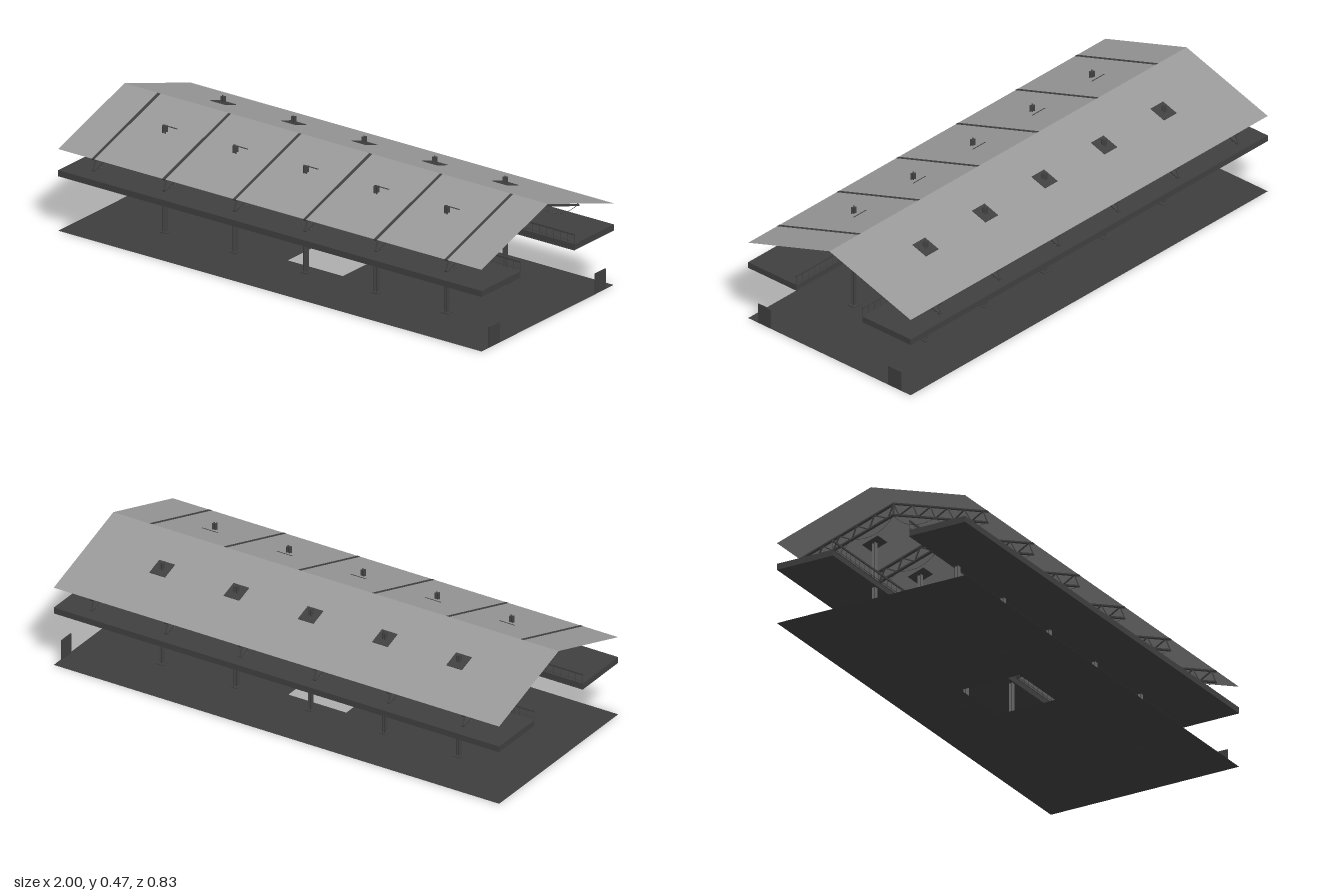
import * as THREE from 'three';

const mat = (name, color, side = THREE.FrontSide) => {
  const m = new THREE.MeshStandardMaterial({ color, side });
  m.name = name;
  return m;
};

export function createModel() {
  const model = new THREE.Group();
  model.name = 'platformHall';
  const steel = mat('dark steel', 0x404040);
  const floorMat = mat('dark floor', 0x3e3e3e, THREE.DoubleSide);
  const roofMat = mat('grey roof', 0x999999, THREE.DoubleSide);

  const HALF = 0.415, RIDGE = 0.466, EAVE = 0.333;
  const slope = (RIDGE - EAVE) / HALF;
  const pitch = Math.atan(slope);
  const slopeLength = Math.hypot(HALF, RIDGE - EAVE);

  const add = (parent, name, geometry, material, x = 0, y = 0, z = 0) => {
    const mesh = new THREE.Mesh(geometry, material);
    mesh.name = name;
    mesh.position.set(x, y, z);
    parent.add(mesh);
    return mesh;
  };
  const box = (parent, name, w, h, d, x, y, z) =>
    add(parent, name, new THREE.BoxGeometry(w, h, d), steel, x, y, z);

  // Bar between two points of the z-y plane
  const bar = (parent, name, [z1, y1], [z2, y2], width, thick) => {
    const length = Math.hypot(z2 - z1, y2 - y1);
    const m = box(parent, name, width, thick, length, 0, (y1 + y2) / 2, (z1 + z2) / 2);
    m.rotation.x = -Math.atan2(y2 - y1, z2 - z1);
    return m;
  };

  // Ground floor with a square opening in the middle
  const floor = new THREE.Shape([[-1, -HALF], [1, -HALF], [1, HALF], [-1, HALF]]
    .map(p => new THREE.Vector2(...p)));
  floor.holes.push(new THREE.Path([[-0.13, -0.13], [-0.13, 0.13], [0.13, 0.13], [0.13, -0.13]]
    .map(p => new THREE.Vector2(...p))));
  add(model, 'groundFloor', new THREE.ShapeGeometry(floor), floorMat).rotation.x = -Math.PI / 2;

  // Roof slopes
  for (const s of [1, -1]) {
    const roof = add(model, s > 0 ? 'frontRoof' : 'backRoof',
      new THREE.PlaneGeometry(2, slopeLength), roofMat, 0, (RIDGE + EAVE) / 2, s * HALF / 2);
    roof.rotation.x = -Math.PI / 2 + s * pitch;
  }

  // Upper galleries with edge flanges and inner railing
  for (const s of [1, -1]) {
    const gallery = new THREE.Group();
    gallery.name = s > 0 ? 'frontGallery' : 'backGallery';
    model.add(gallery);
    box(gallery, 'galleryDeck', 2, 0.025, 0.246, 0, 0.2345, s * 0.292);
    for (const y of [0.223, 0.246])
      box(gallery, 'deckFlange', 2, 0.003, 0.006, 0, y, s * 0.17);
    box(gallery, 'handrail', 2, 0.007, 0.005, 0, 0.285, s * 0.17);
    box(gallery, 'lowerRail', 2, 0.0015, 0.0015, 0, 0.256, s * 0.17);
    for (let i = 0; i <= 60; i++)
      box(gallery, 'baluster', 0.0014, 0.04, 0.0014, -0.999 + i * 0.0333, 0.265, s * 0.17);
  }

  // Columns of crossed plates, with foot plates and roof plates
  for (let i = -2; i <= 2; i++) {
    const x = i / 3 - 0.004;
    for (const s of [1, -1]) {
      const column = new THREE.Group();
      column.name = 'column';
      column.position.set(x, 0, s * 0.183);
      model.add(column);
      for (const a of [1, -1])
        box(column, 'columnPlate', 0.021, 0.434, 0.005, 0, 0.217, 0).rotation.y = a * Math.PI / 4;
      box(column, 'footPlate', 0.033, 0.004, 0.033, 0, 0.002, 0);
      const lift = s > 0 ? -0.003 : 0.0005;
      const plate = box(column, 'roofPlate', 0.07, 0.003, 0.073, 0,
        RIDGE - slope * 0.183 + lift, 0);
      plate.rotation.x = s * pitch;
    }
    // Narrow flashing on the front slope
    const flash = box(model, 'roofFlashing', 0.07, 0.003, 0.004, x, RIDGE - slope * 0.151, 0.151);
    flash.rotation.x = pitch;
  }

  // Trusses: chords, zigzag webs and hanging cables
  const bottomNodes = [0.415, 0.343, 0.267, 0.184, 0.108, 0.025];
  const topNodes = [0.395, 0.312, 0.238, 0.163, 0.085, 0];
  const drape = [[0, 0.414], [0.03, 0.383], [0.075, 0.358], [0.135, 0.35], [0.183, 0.359],
    [0.225, 0.323], [0.28, 0.295], [0.35, 0.28], [0.413, 0.284]];
  const cables = [drape.slice(0, 5), drape.slice(4)];
  for (let i = 0; i < 6; i++) {
    const truss = new THREE.Group();
    truss.name = 'truss';
    truss.position.x = (i - 2.5) / 3 - 0.002;
    model.add(truss);
    box(truss, 'kingPost', 0.006, 0.048, 0.004, 0, 0.438, 0);
    for (const s of [1, -1]) {
      const topY = z => (s > 0 ? 0.4635 : 0.4615) - slope * z;
      const lowY = z => 0.416 - 0.316 * z;
      bar(truss, 'topChord', [0, topY(0)], [s * HALF, topY(HALF)], 0.013, 0.006);
      bar(truss, 'bottomChord', [0, lowY(0)], [s * HALF, lowY(HALF)], 0.013, 0.006);
      bottomNodes.forEach((b, k) => {
        const low = [s * b, lowY(b)], t = topNodes[k];
        bar(truss, 'webBar', low, [s * t, topY(t)], 0.006, 0.0035);
        if (k > 0) bar(truss, 'webBar', low, [s * topNodes[k - 1], topY(topNodes[k - 1])], 0.006, 0.0035);
      });
      for (const pts of cables) {
        const curve = new THREE.CatmullRomCurve3(pts.map(([z, y]) => new THREE.Vector3(0, y, s * z)));
        add(truss, 'hangingCable', new THREE.TubeGeometry(curve, 24, 0.0008, 4), steel);
        for (const p of curve.getSpacedPoints(24))
          add(truss, 'cableBead', new THREE.OctahedronGeometry(0.0016), steel, p.x, p.y, p.z);
      }
    }
  }

  // Doors at the left end
  for (const s of [1, -1])
    box(model, 'endDoor', 0.005, 0.083, 0.066, 0.9975, 0.0415, s * 0.333);

  return model;
}
